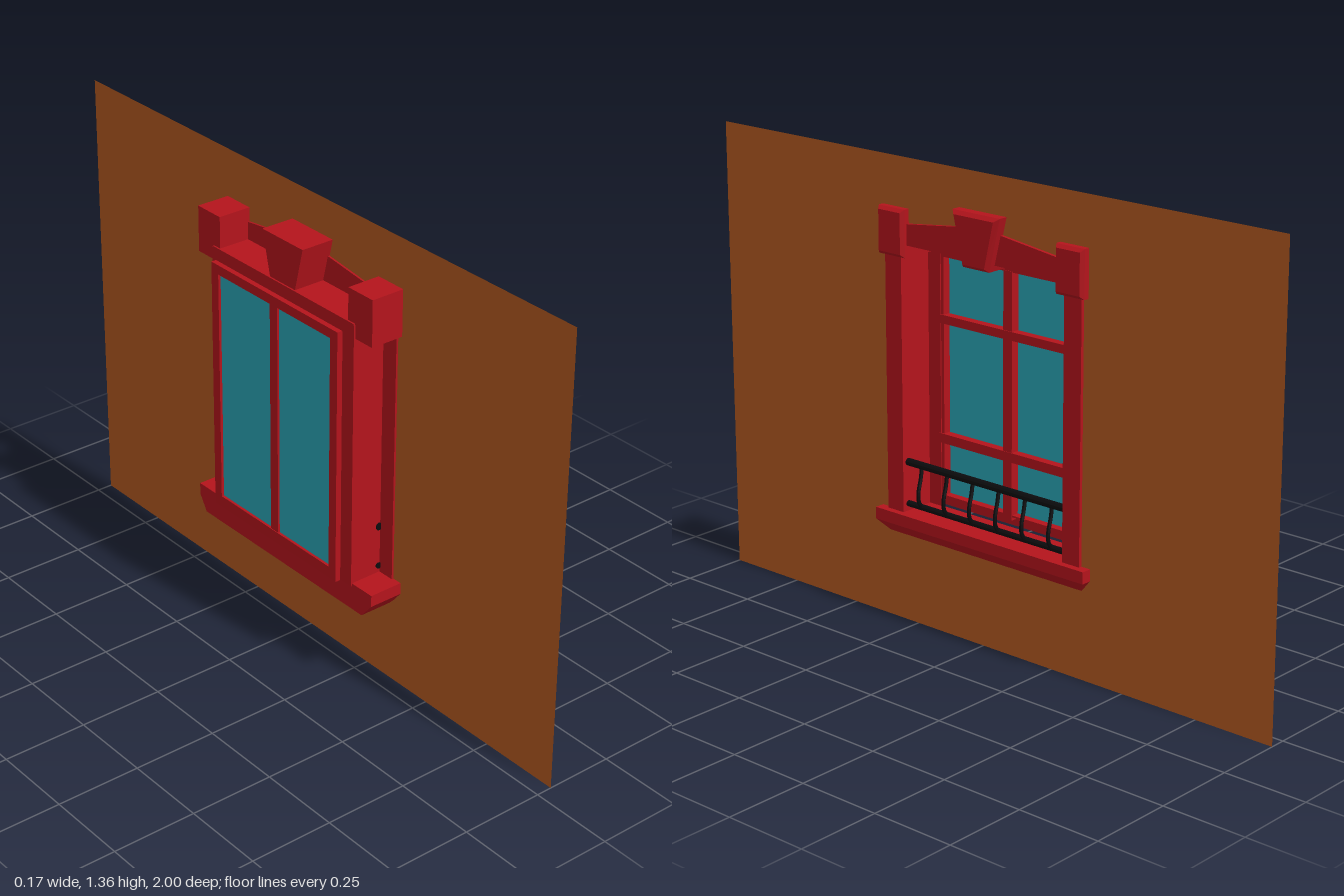
import * as THREE from 'three';
import { ConvexGeometry } from 'three/addons/geometries/ConvexGeometry.js';

const paint = (color, side = THREE.FrontSide) =>
  new THREE.MeshStandardMaterial({ color, side, flatShading: true });

export function createModel() {
  const model = new THREE.Group();
  const red = paint(0xb4141c);
  const black = paint(0x0c0c0e);
  const glass = paint(0x2aa5b5, THREE.DoubleSide);
  const brick = paint(0xb25820, THREE.DoubleSide);

  const add = (name, geometry, material = red, parent = model) => {
    const mesh = new THREE.Mesh(geometry, material);
    mesh.name = name;
    parent.add(mesh);
    return mesh;
  };
  // box from its limits on each axis
  const box = (name, [x0, x1], [y0, y1], [z0, z1], parent = model) =>
    add(name, new THREE.BoxGeometry(x1 - x0, y1 - y0, z1 - z0)
      .translate((x0 + x1) / 2, (y0 + y1) / 2, (z0 + z1) / 2), red, parent);
  // solid through outlines given as [x, [[z, y], ...]]
  const solid = (name, ...sections) =>
    add(name, new ConvexGeometry(sections.flatMap(([x, pts]) =>
      pts.map(([z, y]) => new THREE.Vector3(x, y, z)))));
  const rect = (z0, z1, y0, y1) => [[z0, y0], [z1, y0], [z1, y1], [z0, y1]];
  const trapezoid = (zBottom, zTop, y0, y1) =>
    [[-zBottom, y0], [zBottom, y0], [zTop, y1], [-zTop, y1]];

  // wall sheet with the window opening
  const wall = new THREE.Shape([[-1, 0], [1, 0], [1, 1.36], [-1, 1.36]]
    .map(p => new THREE.Vector2(...p)));
  wall.holes.push(new THREE.Path([[-0.31, 0.3], [-0.31, 1.13], [0.31, 1.13], [0.31, 0.3]]
    .map(p => new THREE.Vector2(...p))));
  add('wall', new THREE.ShapeGeometry(wall).rotateY(Math.PI / 2).translate(0.047, 0, 0), brick);

  // surround: thin jambs with a front strip, a back return and a corner block
  for (const s of [-1, 1]) {
    const span = (a, b) => (s > 0 ? [a, b] : [-b, -a]);
    box('jamb', [-0.055, 0.045], [0.32, 1.12], span(0.295, 0.303));
    box('jambReturn', [-0.06, -0.053], [0.32, 1.12], span(0.25, 0.303));
    box('frontStrip', [0.041, 0.057], [0.32, 1.09], span(0.295, 0.355));
    solid('cornerBlock',
      [-0.055, rect(...span(0.273, 0.37), 1.08, 1.217)],
      [0.064, rect(...span(0.273, 0.37), 1.08, 1.217)],
      [0.075, rect(...span(0.281, 0.362), 1.09, 1.208)]);
  }

  // head of the recess, pediment and keystone
  box('soffit', [-0.058, 0.045], [1.115, 1.123], [-0.3, 0.3]);
  box('headReturn', [-0.06, -0.053], [1.075, 1.123], [-0.3, 0.3]);
  const gable = [[-0.3, 1.115], [0.3, 1.115], [0.3, 1.172], [0, 1.21], [-0.3, 1.172]];
  solid('pediment', [0.041, gable], [0.057, gable]);
  solid('keystone',
    [-0.055, trapezoid(0.047, 0.085, 1.098, 1.252)],
    [0.074, trapezoid(0.047, 0.085, 1.098, 1.252)],
    [0.086, trapezoid(0.039, 0.071, 1.108, 1.242)]);

  // sill with a sloping underside
  const sillTop = rect(-0.385, 0.385, 0.295, 0.33);
  solid('sill', [-0.057, sillTop], [0.077, sillTop],
    [-0.061, [[-0.35, 0.252], [0.35, 0.252]]], [0.04, [[-0.35, 0.252], [0.35, 0.252]]]);

  // window frame in two layers, with bars in front of the glass
  const windowGroup = new THREE.Group();
  windowGroup.name = 'window';
  model.add(windowGroup);
  const ring = (name, xs, z, y0, y1) => {
    for (const s of [-1, 1])
      box(name, xs, [y0, y1], s > 0 ? [0.24, z] : [-z, -0.24], windowGroup);
    box(name, xs, [y0, 0.365], [-0.24, 0.24], windowGroup);
    box(name, xs, [1.067, y1], [-0.24, 0.24], windowGroup);
  };
  ring('backFrame', [-0.088, -0.072], 0.27, 0.33, 1.095);
  ring('frontFrame', [-0.072, -0.056], 0.257, 0.36, 1.083);
  add('glass', new THREE.PlaneGeometry(0.49, 0.72).rotateY(Math.PI / 2)
    .translate(-0.08, 0.715, 0), glass, windowGroup);
  box('mullion', [-0.086, -0.054], [0.35, 1.07], [-0.016, 0.016], windowGroup);
  for (const [y0, y1] of [[0.875, 0.9], [0.522, 0.55]])
    box('glazingBar', [-0.078, -0.052], [y0, y1], [-0.257, 0.257], windowGroup);

  // railing with bowed balusters
  const railing = new THREE.Group();
  railing.name = 'railing';
  model.add(railing);
  for (const [y, r] of [[0.477, 0.011], [0.352, 0.009]])
    add('rail', new THREE.CylinderGeometry(r, r, 0.614, 10).rotateX(Math.PI / 2)
      .translate(0.036, y, 0), black, railing);
  for (let i = 0; i < 6; i++) {
    const z = (i - 2.5) * 0.0965;
    const curve = new THREE.CatmullRomCurve3([[0.036, 0.477], [0.042, 0.44], [0.052, 0.4],
      [0.05, 0.37], [0.036, 0.352]].map(([x, y]) => new THREE.Vector3(x, y, z)));
    add('baluster', new THREE.TubeGeometry(curve, 12, 0.006, 6), black, railing);
  }
  return model;
}
